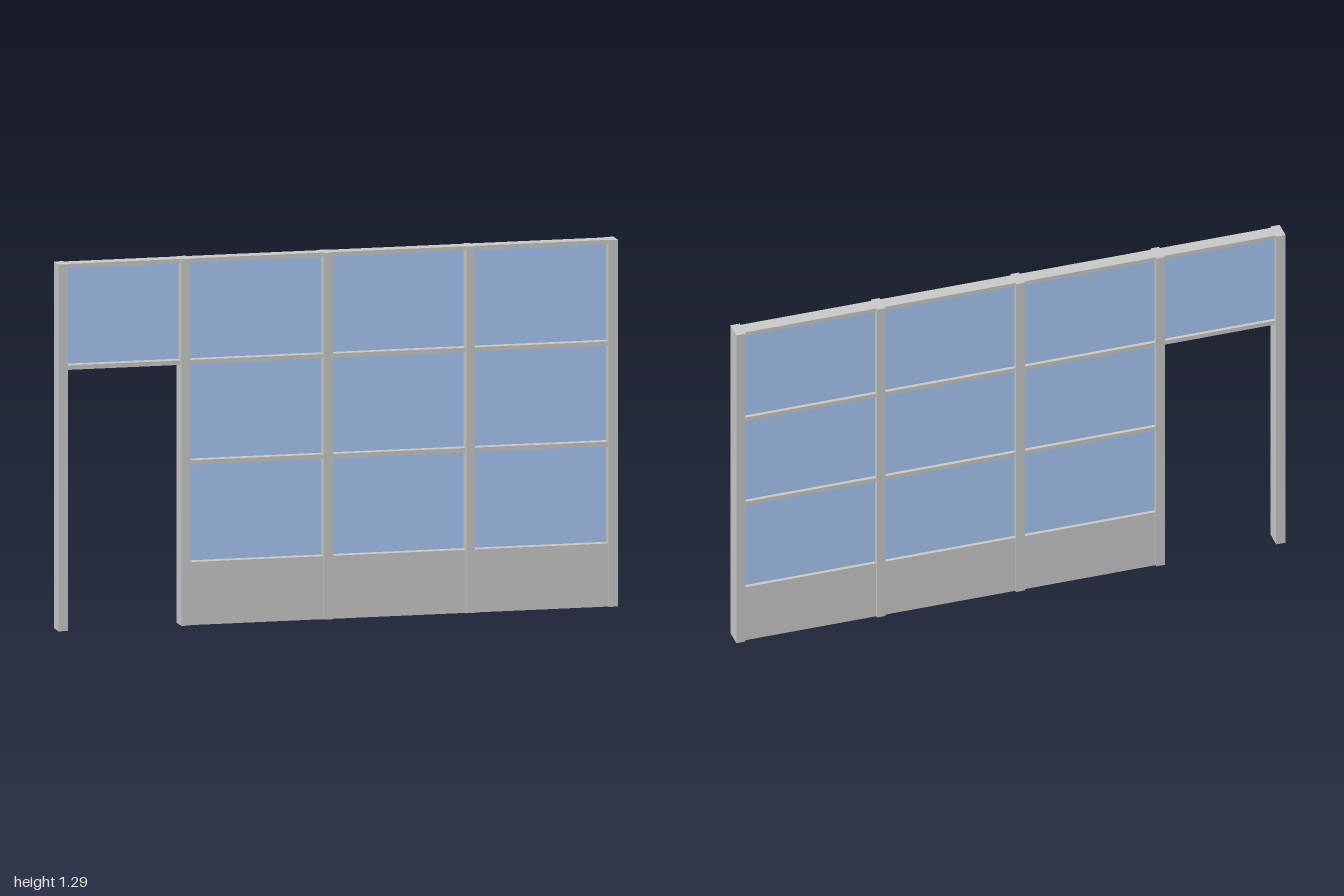
import * as THREE from 'three';

const grey = new THREE.MeshStandardMaterial({ color: 0xcccccc, side: THREE.DoubleSide });
const blue = new THREE.MeshStandardMaterial({ color: 0xabcaf8 });

const HEIGHT = 1.29;
const POST_DEPTH = 0.066;
const RAIL_DEPTH = 0.05;

// x range of each post, left to right across the front
const POSTS = [[-1, -0.966], [-0.561, -0.529], [-0.051, -0.019], [0.457, 0.488], [0.966, 1]];
// y range of each horizontal rail, bottom to top
const RAILS = [[0.564, 0.58], [0.917, 0.933], [1.275, HEIGHT]];
const KICK_TOP = 0.222;

// Box between two corners in x and y; openBase leaves out the underside
function slab(name, [x0, x1], [y0, y1], depth, material, z = 0, openBase = false) {
  const geometry = new THREE.BoxGeometry(x1 - x0, y1 - y0, depth);
  if (openBase) {
    const index = Array.from(geometry.index.array);
    index.splice(18, 6);
    geometry.setIndex(index);
    geometry.clearGroups();
  }
  const mesh = new THREE.Mesh(geometry, material);
  mesh.name = name;
  mesh.position.set((x0 + x1) / 2, (y0 + y1) / 2, z);
  return mesh;
}

export function createModel() {
  const model = new THREE.Group();
  model.name = 'glazedPartition';

  // Upright posts, hollow at the foot
  POSTS.forEach((x, i) => {
    model.add(slab(`post${i + 1}`, x, [0, HEIGHT], POST_DEPTH, grey, 0, true));
  });

  // Bays between the posts; the first is the doorway with a transom light
  for (let i = 0; i < POSTS.length - 1; i++) {
    const bay = new THREE.Group();
    bay.name = i === 0 ? 'doorBay' : `windowBay${i}`;
    const x = [POSTS[i][1], POSTS[i + 1][0]];
    const rails = i === 0 ? RAILS.slice(1) : RAILS;

    if (i > 0) bay.add(slab('kickPanel', x, [0, KICK_TOP], RAIL_DEPTH, grey, 0, true));
    rails.forEach((y) => bay.add(slab('rail', x, y, RAIL_DEPTH, grey)));

    // Panes sit towards the back of the frame
    const sills = i === 0 ? [] : [KICK_TOP];
    rails.slice(0, -1).forEach((y) => sills.push(y[1]));
    sills.forEach((y, k) => bay.add(slab('glassPane', x, [y, rails[k + (i === 0 ? 1 : 0)][0]], 0.004, blue, -0.01)));
    model.add(bay);
  }
  return model;
}
